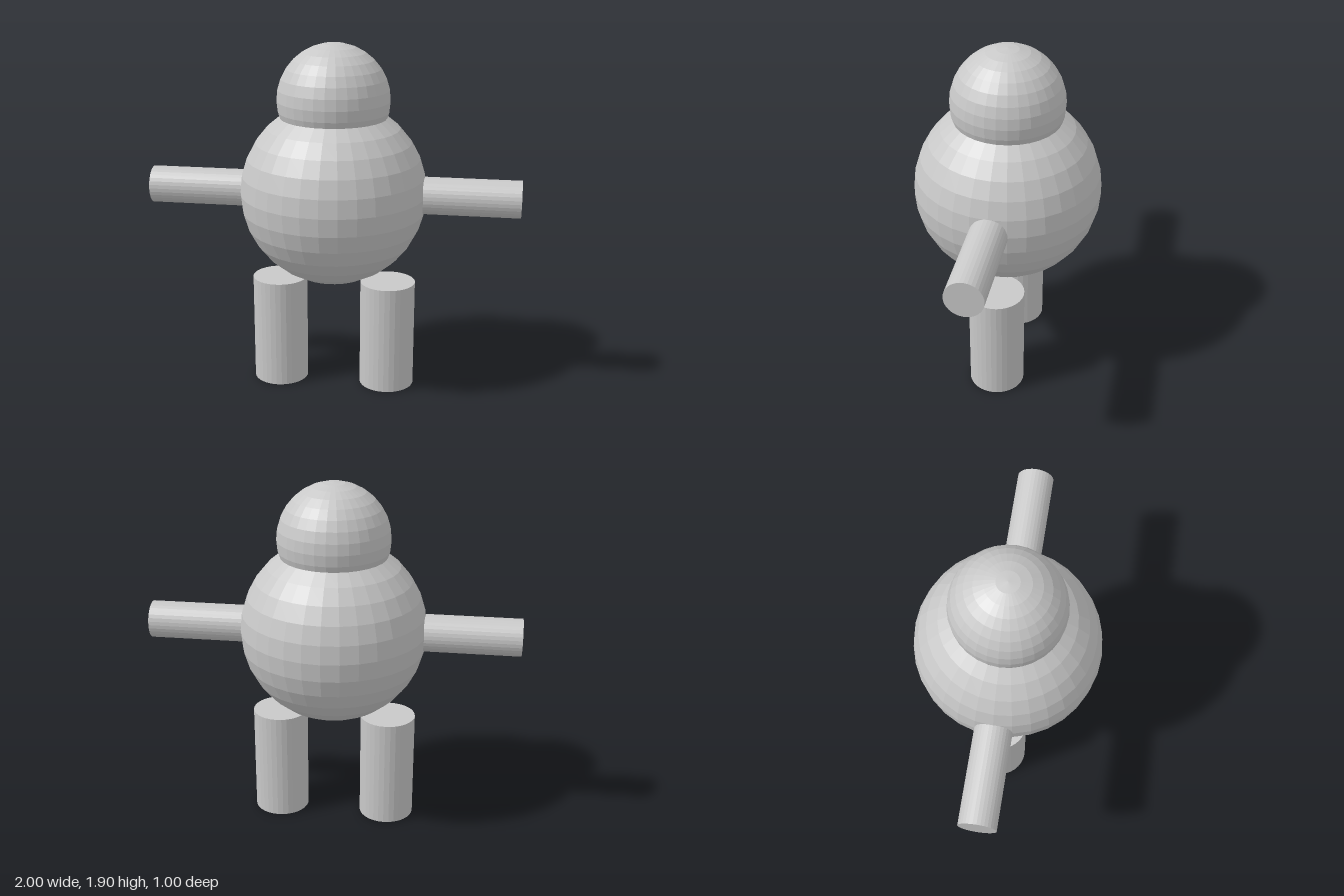
import * as THREE from 'three';

export function createModel() {
  const model = new THREE.Group();
  model.name = 'roundFigure';

  const grey = new THREE.MeshStandardMaterial({ color: 0xc8c8c8 });
  grey.name = 'plainGrey';
  grey.flatShading = true;

  const add = (name, geometry, x, y) => {
    const mesh = new THREE.Mesh(geometry, grey);
    mesh.name = name;
    mesh.position.set(x, y, 0);
    model.add(mesh);
    return mesh;
  };

  // Ball body with a smaller ball head sunk into its top
  add('body', new THREE.SphereGeometry(0.5, 32, 16), 0, 1.1);
  add('head', new THREE.SphereGeometry(0.3, 32, 16), 0, 1.6);

  // Straight arms and free-standing legs, mirrored
  const armGeometry = new THREE.CylinderGeometry(0.1, 0.1, 0.6, 32);
  const legGeometry = new THREE.CylinderGeometry(0.15, 0.15, 0.6, 32);
  for (const [side, s] of [['left', 1], ['right', -1]]) {
    add(side + 'Arm', armGeometry, s * 0.7, 1.1).rotation.z = -s * Math.PI / 2;
    add(side + 'Leg', legGeometry, s * 0.3, 0.3);
  }

  return model;
}
